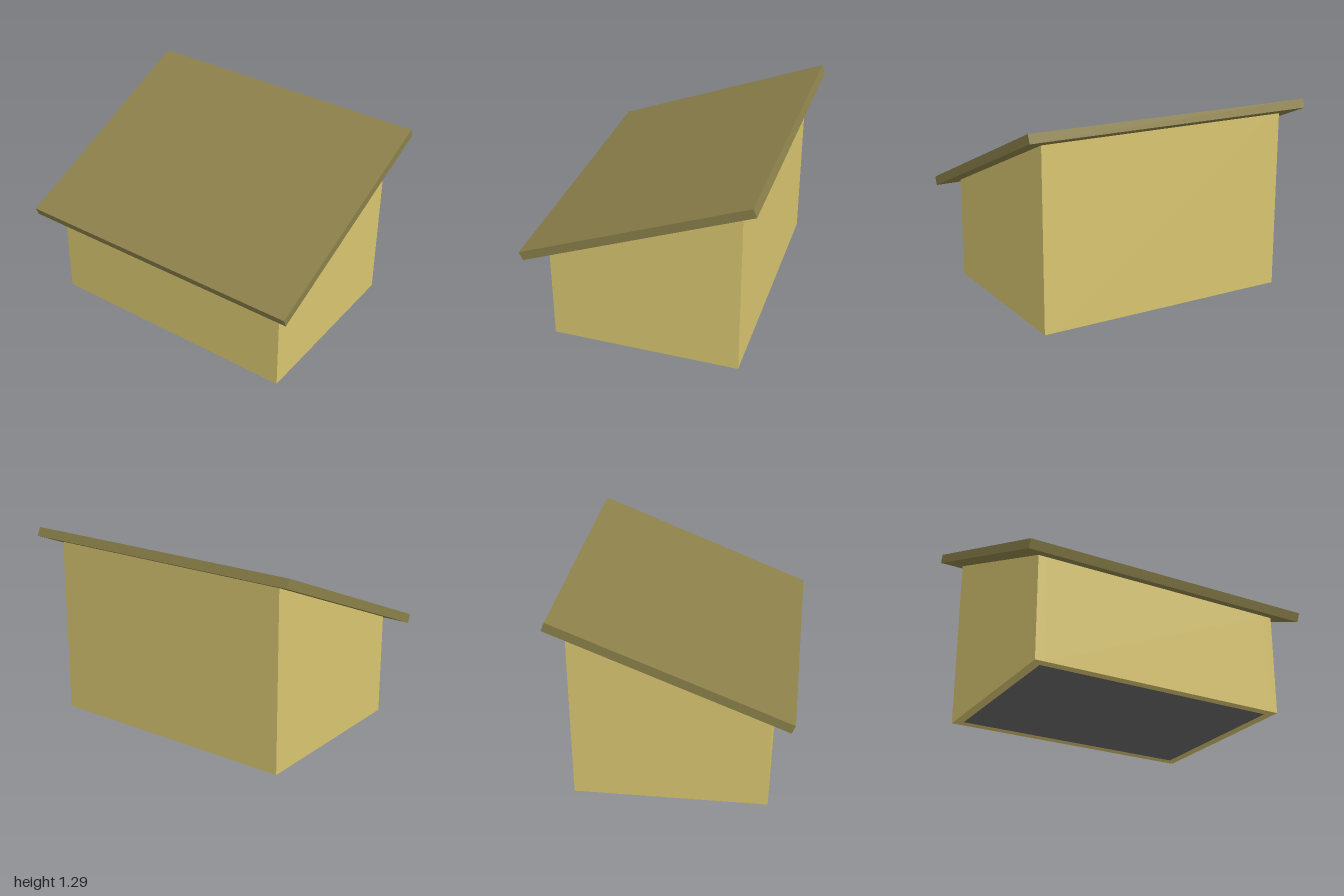
import * as THREE from 'three';

const X0 = -0.602, X1 = 0.643;      // outer faces of the side walls
const HALF_Z = 0.875, T = 0.06;     // half depth of the walls, panel thickness
const PITCH = THREE.MathUtils.degToRad(22);
const underRoof = (x) => 0.927 + Math.tan(PITCH) * x;

export function createModel() {
  const group = new THREE.Group();
  const wallMat = new THREE.MeshStandardMaterial({ color: 0xd8c570 });
  const roofMat = new THREE.MeshStandardMaterial({ color: 0x8b804a });
  const floorMat = new THREE.MeshStandardMaterial({ color: 0x666666 });

  const add = (name, geometry, material, x, y, z) => {
    const mesh = new THREE.Mesh(geometry, material);
    mesh.name = name;
    mesh.position.set(x, y, z);
    group.add(mesh);
    return mesh;
  };

  // Upright panel from xa to xb, its top cut to the roof slope
  const addWall = (name, xa, xb, za, zb) => {
    const shape = new THREE.Shape([
      new THREE.Vector2(xa, 0),
      new THREE.Vector2(xb, 0),
      new THREE.Vector2(xb, underRoof(xb)),
      new THREE.Vector2(xa, underRoof(xa)),
    ]);
    const geometry = new THREE.ExtrudeGeometry(shape, { depth: zb - za, bevelEnabled: false });
    add(name, geometry, wallMat, 0, 0, za);
  };

  // Four walls around a hollow inside
  addWall('frontWall', X0, X1, HALF_Z - T, HALF_Z);
  addWall('backWall', X0, X1, -HALF_Z, -HALF_Z + T);
  addWall('leftWall', X1 - T, X1, -HALF_Z + T, HALF_Z - T);
  addWall('rightWall', X0, X0 + T, -HALF_Z + T, HALF_Z - T);

  // Floor slab between the walls
  add('floor', new THREE.BoxGeometry(X1 - X0 - 2 * T, T, 2 * (HALF_Z - T)), floorMat,
    (X0 + X1) / 2, T / 2, 0);

  // Overhanging sloped roof
  const roof = add('roof', new THREE.BoxGeometry(1.595, T, 2), roofMat, 0, 0.959, 0);
  roof.rotation.z = PITCH;

  return group;
}
